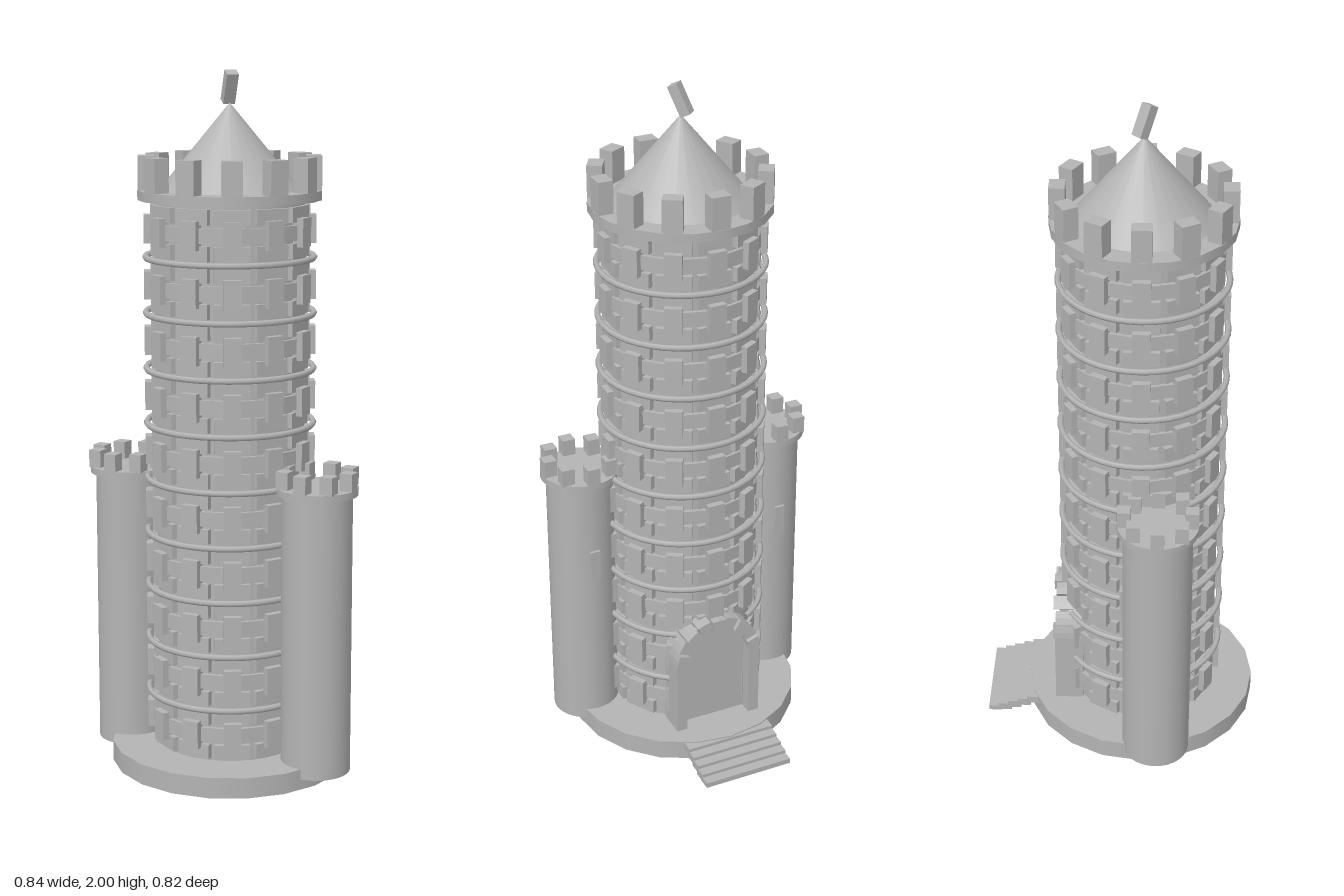
import * as THREE from 'three';
import { mergeGeometries } from 'three/addons/utils/BufferGeometryUtils.js';

const stone = new THREE.MeshStandardMaterial({ color: 0xb4b4b4 });
stone.name = 'grey stone';

const CZ = 0.06; // z of the tower axis

function add(parent, name, geometry, x = 0, y = 0, z = 0) {
  const mesh = new THREE.Mesh(geometry, stone);
  mesh.name = name;
  mesh.position.set(x, y, z);
  parent.add(mesh);
  return mesh;
}

// Cylinder between two heights
function drum(parent, name, r, y0, y1, sides) {
  return add(parent, name, new THREE.CylinderGeometry(r, r, y1 - y0, sides), 0, (y0 + y1) / 2, 0);
}

// Box whose depth points away from the axis
function radialBox(w, h, d, r, y, angle) {
  return new THREE.BoxGeometry(w, h, d).translate(0, y, r).rotateY(angle);
}

// True where the doorway leaves no room for masonry
function inDoorway(angle, y, r, halfWidth) {
  const x = Math.abs(Math.sin(angle) * r);
  return Math.cos(angle) < 0 && y < 0.4 && x - halfWidth < 0.1;
}

function makeKeep() {
  const keep = new THREE.Group();
  keep.name = 'keep';
  keep.position.z = CZ;
  drum(keep, 'plinth', 0.347, 0, 0.06, 20);
  drum(keep, 'keepWall', 0.213, 0.06, 1.65, 32);

  // Ten bands of staggered bricks, tall blocks and thin rings
  const bricks = [], blocks = [], rings = [];
  const bands = 10, bandH = 0.158;
  for (let b = 0; b < bands; b++) {
    const mid = 0.06 + bandH * (b + 0.5);
    for (let i = 0; i < 12; i++) {
      const a = (i * Math.PI) / 6;
      for (const course of [-1, 0, 1]) {
        const angle = a + (course === 0 ? Math.PI / 12 : 0);
        const y = mid + course * 0.05;
        if (!inDoorway(angle, y, 0.222, 0.03)) bricks.push(radialBox(0.1, 0.042, 0.03, 0.208, y, angle));
      }
      if (!inDoorway(a, mid, 0.235, 0.01)) blocks.push(radialBox(0.05, 0.08, 0.04, 0.222, mid, a));
    }
    if (b > 0) {
      const y = 0.06 + bandH * b;
      const gap = y < 0.4 ? 0.5 : 0;
      rings.push(new THREE.TorusGeometry(0.238, 0.009, 6, 40, 2 * Math.PI - 2 * gap)
        .rotateZ(-Math.PI / 2 + gap).rotateX(Math.PI / 2).translate(0, y, 0));
    }
  }
  add(keep, 'bricks', mergeGeometries(bricks));
  add(keep, 'tallBlocks', mergeGeometries(blocks));
  add(keep, 'bandRings', mergeGeometries(rings));

  // Parapet, roof and tilted finial
  drum(keep, 'cornice', 0.26, 1.643, 1.67, 20);
  const merlons = [];
  for (let i = 0; i < 12; i++) merlons.push(radialBox(0.056, 0.096, 0.044, 0.235, 1.717, (i * Math.PI) / 6));
  add(keep, 'merlons', mergeGeometries(merlons));
  add(keep, 'roof', new THREE.ConeGeometry(0.2, 0.242, 24), 0, 1.789, 0);
  add(keep, 'finial', new THREE.BoxGeometry(0.03, 0.09, 0.034).rotateZ(-0.44).rotateY(-Math.PI / 4), 0, 1.953, 0);
  return keep;
}

function makeTurret(side) {
  const turret = new THREE.Group();
  turret.name = side > 0 ? 'leftTurret' : 'rightTurret';
  turret.position.set(side * 0.304, 0, 0.112);
  drum(turret, 'turretWall', 0.1, 0.03, 0.845, 32);
  drum(turret, 'turretCornice', 0.116, 0.84, 0.86, 24);
  const merlons = [];
  for (let i = 0; i < 8; i++) {
    const a = (i * Math.PI) / 4;
    merlons.push(new THREE.BoxGeometry(0.038, 0.052, 0.038).translate(Math.sin(a) * 0.096, 0.884, Math.cos(a) * 0.096));
  }
  add(turret, 'turretMerlons', mergeGeometries(merlons));
  add(turret, 'slitWindow', new THREE.BoxGeometry(0.03, 0.095, 0.02), 0, 0.58, -0.098);
  return turret;
}

function makeEntrance() {
  const entrance = new THREE.Group();
  entrance.name = 'entrance';
  const springY = 0.29;

  // Arched door leaf
  const leaf = new THREE.Shape();
  leaf.moveTo(-0.106, 0.06);
  leaf.lineTo(0.106, 0.06);
  leaf.lineTo(0.106, springY);
  leaf.absarc(0, springY, 0.106, 0, Math.PI, false);
  add(entrance, 'door', new THREE.ExtrudeGeometry(leaf, { depth: 0.05, bevelEnabled: false, curveSegments: 16 }), 0, 0, -0.16);

  // Posts and the arch of wedge stones
  for (const s of [-1, 1]) {
    add(entrance, 'doorPost', new THREE.BoxGeometry(0.034, 0.235, 0.085), s * 0.119, 0.1775, -0.157);
  }
  const stones = [], count = 9, step = Math.PI / count;
  for (let i = 0; i < count; i++) {
    const a0 = i * step + 0.02, a1 = (i + 1) * step - 0.02;
    const wedge = new THREE.Shape();
    wedge.absarc(0, 0, 0.136, a0, a1, false);
    wedge.absarc(0, 0, 0.1, a1, a0, true);
    const depth = i % 2 ? 0.08 : 0.088;
    stones.push(new THREE.ExtrudeGeometry(wedge, { depth, bevelEnabled: false, curveSegments: 1 })
      .translate(0, springY, -0.117 - depth));
  }
  add(entrance, 'archStones', mergeGeometries(stones));

  // Thin steps running down from the plinth
  for (let i = 0; i < 5; i++) {
    const top = 0.056 - i * 0.01, bottom = Math.max(0, top - 0.024);
    const z0 = i === 0 ? -0.23 : -0.25 - i * 0.03, z1 = -0.29 - i * 0.03;
    add(entrance, 'step', new THREE.BoxGeometry(0.276, top - bottom, z0 - z1), 0, (top + bottom) / 2, (z0 + z1) / 2);
  }
  return entrance;
}

export function createModel() {
  const model = new THREE.Group();
  model.name = 'castleTower';
  model.add(makeKeep(), makeTurret(1), makeTurret(-1), makeEntrance());
  return model;
}
